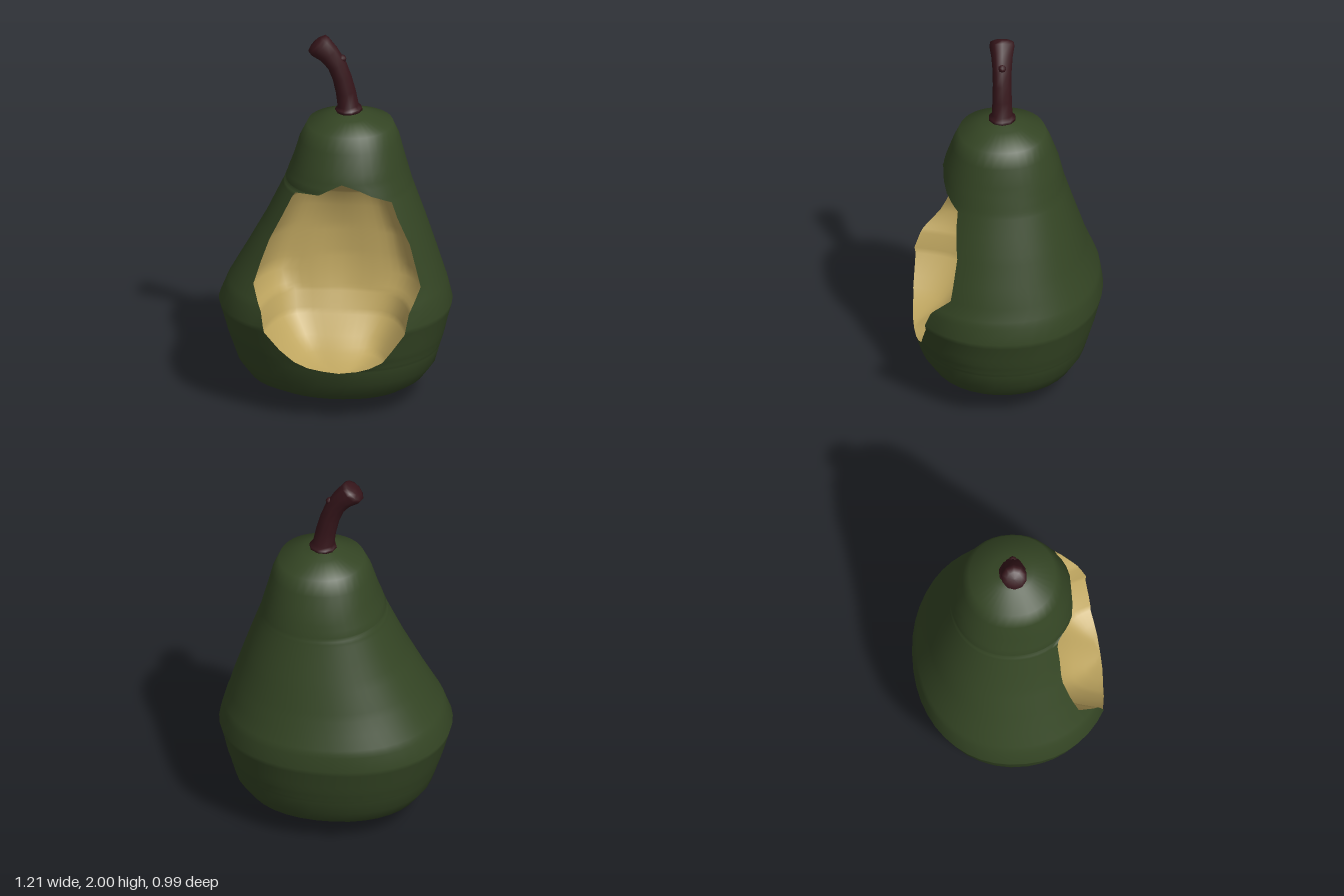
import * as THREE from 'three';
import { mergeVertices } from 'three/addons/utils/BufferGeometryUtils.js';

const { lerp } = THREE.MathUtils;
const CX = 0.06, CZ = 0.05, POWER = 2.15, COLS = 36;

// Body profile: height, least x, greatest x, half depth
const BODY = [
  [0.005, 0.05, 0.07, 0.01], [0.045, -0.15, 0.24, 0.17], [0.085, -0.34, 0.38, 0.29],
  [0.14, -0.45, 0.46, 0.385], [0.22, -0.51, 0.52, 0.435], [0.38, -0.565, 0.565, 0.485],
  [0.54, -0.61, 0.605, 0.525], [0.64, -0.57, 0.58, 0.51], [0.8, -0.48, 0.53, 0.45],
  [1.0, -0.37, 0.465, 0.39], [1.2, -0.275, 0.395, 0.33], [1.35, -0.22, 0.355, 0.295],
  [1.45, -0.19, 0.33, 0.26], [1.53, -0.15, 0.295, 0.225], [1.575, -0.03, 0.17, 0.11],
  [1.595, 0.05, 0.07, 0.01],
];
// Bite: height, right edge x, left edge x, floor z
const BITE = [
  [0.3, CX, CX, 0.5], [0.31, -0.02, 0.16, 0.47], [0.325, -0.1, 0.22, 0.42], [0.355, -0.17, 0.285, 0.36],
  [0.42, -0.25, 0.335, 0.28], [0.51, -0.33, 0.4, 0.21], [0.62, -0.35, 0.42, 0.16],
  [0.66, -0.37, 0.44, 0.15], [0.73, -0.4, 0.47, 0.135], [0.84, -0.365, 0.44, 0.125],
  [0.95, -0.325, 0.41, 0.125], [1.1, -0.25, 0.345, 0.14], [1.185, -0.21, 0.315, 0.17],
  [1.215, -0.19, 0.26, 0.2], [1.235, -0.06, 0.215, 0.23], [1.27, 0.0, 0.15, 0.28], [1.3, CX, CX, 0.35],
];

// Linear lookup in a table sorted by its first column
function sample(table, y) {
  const last = table.length - 1;
  if (y <= table[0][0]) return table[0];
  if (y >= table[last][0]) return table[last];
  const i = table.findIndex((r) => r[0] > y);
  const t = (y - table[i - 1][0]) / (table[i][0] - table[i - 1][0]);
  return table[i].map((v, k) => lerp(table[i - 1][k], v, t));
}

// Smooth skin over rows of points
function skin(rows) {
  const n = rows[0].length, index = [];
  for (let i = 0; i < rows.length - 1; i++) {
    for (let j = 0; j < n - 1; j++) {
      const a = i * n + j, b = a + n;
      index.push(a, a + 1, b + 1, a, b + 1, b);
    }
  }
  let geo = new THREE.BufferGeometry();
  geo.setAttribute('position', new THREE.Float32BufferAttribute(rows.flat(2), 3));
  geo.setIndex(index);
  geo = mergeVertices(geo, 1e-4);
  geo.computeVertexNormals();
  return geo;
}

const spow = (v, p) => Math.sign(v) * Math.abs(v) ** p;

// Point on the body at height y and angle t (0 = +x, then round the back)
function bodyPoint(y, t) {
  const [, x0, x1, depth] = sample(BODY, y);
  return [(x0 + x1) / 2 + (x1 - x0) / 2 * spow(Math.cos(t), 2 / POWER), y,
    CZ - depth * spow(Math.sin(t), 2 / POWER)];
}

// Angle on the front half of the body where it reaches a given x
function frontAngle(y, x) {
  const [, x0, x1] = sample(BODY, y);
  const s = THREE.MathUtils.clamp((2 * x - x0 - x1) / (x1 - x0), -1, 1);
  return -Math.acos(spow(s, POWER / 2));
}

// Each ring runs from one edge of the bite, round the back, to the other edge
function peelGeometry() {
  const heights = [...new Set([...BODY, ...BITE].map((r) => r[0]))].sort((a, b) => a - b);
  return skin(heights.map((y) => {
    const [, xr, xl] = sample(BITE, y);
    const from = frontAngle(y, xl), to = frontAngle(y, xr) + Math.PI * 2;
    return Array.from({ length: COLS + 1 }, (_, j) => bodyPoint(y, lerp(from, to, j / COLS)));
  }));
}

// Hollow of the bite, meeting the peel along its rim
function fleshGeometry() {
  const heights = [...new Set([...BODY, ...BITE].map((r) => r[0]))]
    .filter((y) => y >= 0.3 && y <= 1.3).sort((a, b) => a - b);
  return skin(heights.map((y, i) => {
    const [, xr, xl, floor] = sample(BITE, y);
    const a = bodyPoint(y, frontAngle(y, xr)), b = bodyPoint(y, frontAngle(y, xl));
    const isTip = i === 0 || i === heights.length - 1;
    return Array.from({ length: 25 }, (_, j) => {
      const u = 0.5 - 0.5 * Math.cos(Math.PI * j / 24);
      const wall = isTip ? 0 : 1 - (1 - 4 * u * (1 - u)) ** 3;
      const x = lerp(a[0], b[0], u);
      const bumps = 0.012 * Math.cos(16 * (x - CX)) * Math.sin(6 * y);
      return [x, y, lerp(lerp(a[2], b[2], u), floor + bumps, wall)];
    });
  }));
}

// Bent stem: centre x, height, radius, tilt from upright
function stemGeometry() {
  const rings = [
    [0.06, 1.59, 0.06, 0], [0.065, 1.6, 0.072, 0], [0.065, 1.612, 0.07, 0.05], [0.062, 1.625, 0.056, 0.1],
    [0.05, 1.7, 0.053, 0.18], [0.03, 1.78, 0.051, 0.28], [0.003, 1.85, 0.052, 0.42],
    [-0.04, 1.91, 0.058, 0.65], [-0.085, 1.95, 0.068, 0.75], [-0.1, 1.965, 0.064, 0.75],
    [-0.108, 1.973, 0.04, 0.75], [-0.11, 1.975, 0.001, 0.75],
  ];
  return skin(rings.map(([x, y, r, tilt]) => Array.from({ length: 11 }, (_, j) => {
    const t = (j % 10) / 10 * Math.PI * 2, c = r * Math.cos(t);
    return [x + c * Math.cos(tilt), y + c * Math.sin(tilt), CZ - r * Math.sin(t)];
  })));
}

export function createModel() {
  const group = new THREE.Group();
  group.name = 'bittenPear';
  const add = (name, geometry, color, doubleSided = false) => {
    const material = new THREE.MeshStandardMaterial({ color });
    if (doubleSided) material.side = THREE.DoubleSide;
    const mesh = new THREE.Mesh(geometry, material);
    mesh.name = name;
    group.add(mesh);
    return mesh;
  };
  add('peel', peelGeometry(), 0x344524, true);
  add('bittenFlesh', fleshGeometry(), 0xbfa660, true);
  add('stem', stemGeometry(), 0x35151a);
  // Small bud on the outside of the bend
  const bud = add('stemBud', new THREE.SphereGeometry(0.022, 8, 6), 0x35151a);
  bud.position.set(0.03, 1.885, CZ);
  return group;
}
